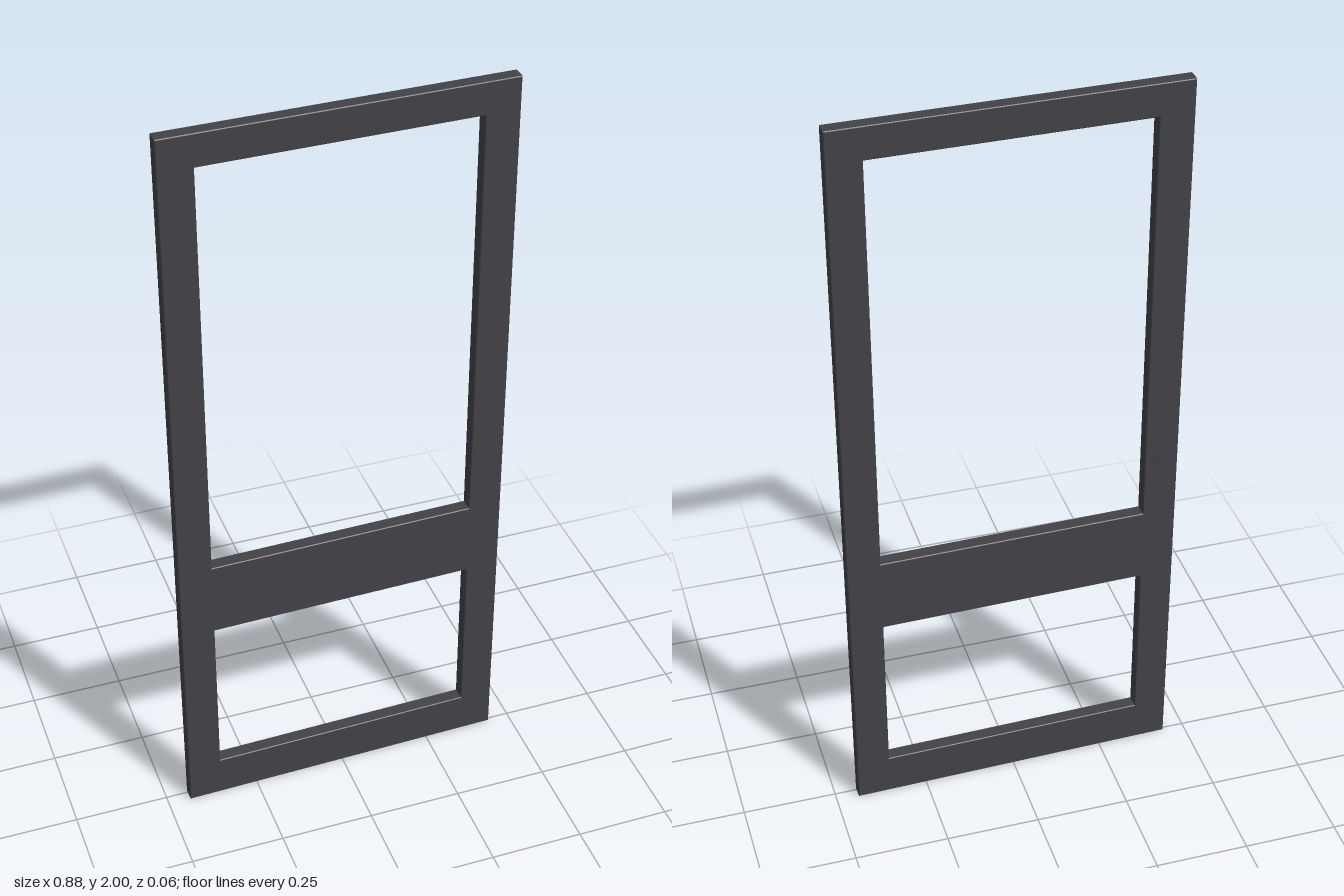
import * as THREE from 'three';

const W = 0.88, H = 2, T = 0.037, BEVEL = 0.002;

// Rectangular outline, given as left, bottom, right, top
function rect(path, x0, y0, x1, y1) {
  path.moveTo(x0, y0);
  path.lineTo(x1, y0);
  path.lineTo(x1, y1);
  path.lineTo(x0, y1);
  path.closePath();
  return path;
}

export function createModel() {
  const model = new THREE.Group();
  model.name = 'door';
  const charcoal = new THREE.MeshStandardMaterial({ color: 0x434247 });
  charcoal.name = 'charcoal paint';

  // Frame with a large upper opening and a small lower one
  const b = BEVEL;
  const outline = rect(new THREE.Shape(), -W / 2 + b, b, W / 2 - b, H - b);
  for (const [y0, y1] of [[0.115, 0.572], [0.777, 1.915]]) {
    outline.holes.push(rect(new THREE.Path(), -0.352 - b, y0 - b, 0.352 + b, y1 + b));
  }
  const frameGeometry = new THREE.ExtrudeGeometry(outline, {
    depth: T - 2 * b, bevelEnabled: true, bevelSize: b, bevelThickness: b, bevelSegments: 1,
  });
  frameGeometry.translate(0, 0, -T / 2 + b);
  const frame = new THREE.Mesh(frameGeometry, charcoal);
  frame.name = 'doorFrame';
  model.add(frame);

  // Round lock on the back, with a raised keyway
  const lock = new THREE.Group();
  lock.name = 'lock';
  const rose = new THREE.Mesh(new THREE.CylinderGeometry(0.017, 0.017, 0.004, 24), charcoal);
  rose.name = 'lockRose';
  rose.rotation.x = Math.PI / 2;
  const keyway = new THREE.Mesh(new THREE.BoxGeometry(0.005, 0.016, 0.003), charcoal);
  keyway.name = 'keyway';
  keyway.position.z = -0.002;
  lock.add(rose, keyway);
  lock.position.set(-0.39, 0.94, -T / 2 - 0.001);
  model.add(lock);

  // The door stands very slightly ajar
  model.rotation.y = 0.0216;
  const root = new THREE.Group();
  root.name = 'doorAssembly';
  root.add(model);
  return root;
}
